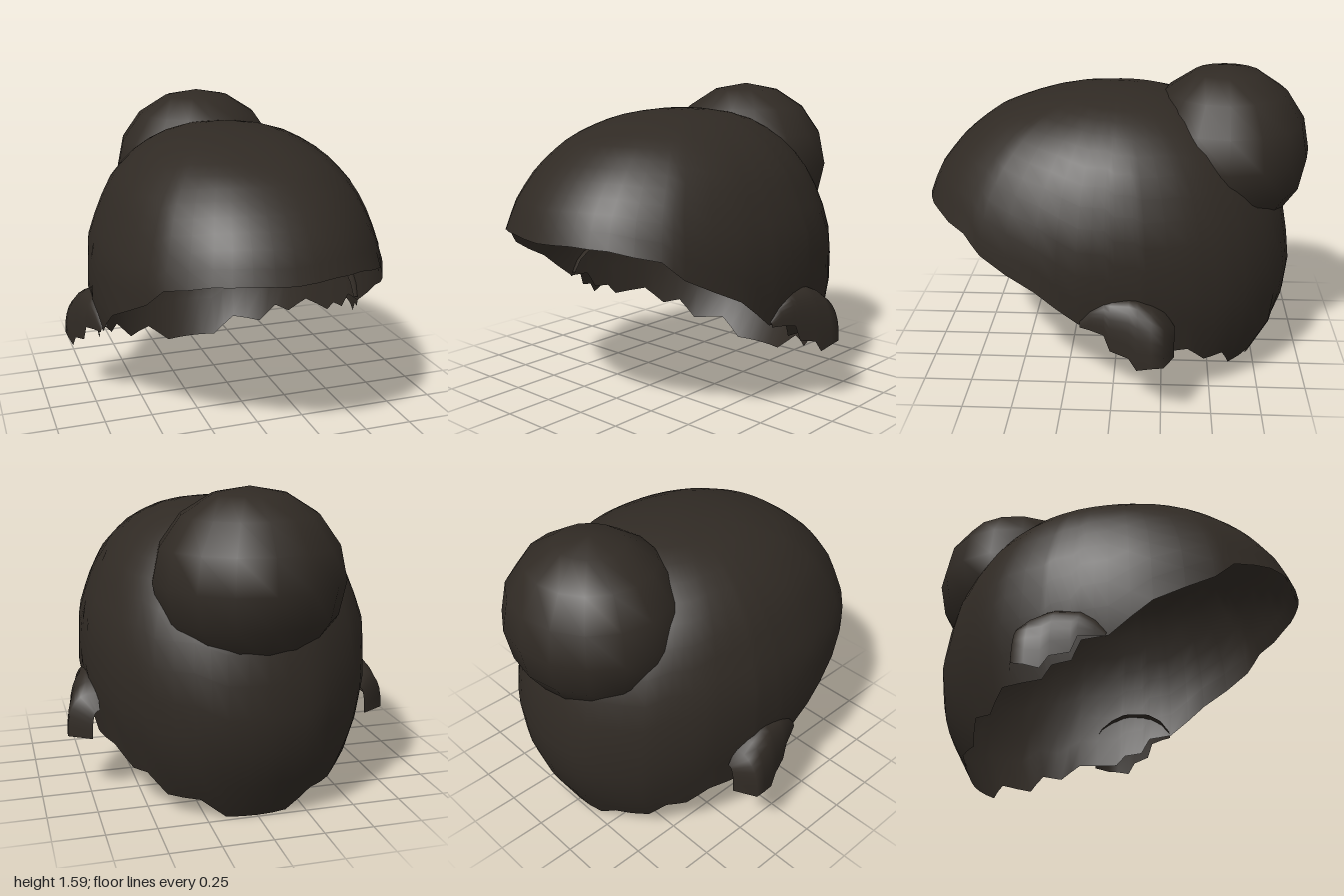
import * as THREE from 'three';
import { mergeVertices } from 'three/addons/utils/BufferGeometryUtils.js';

const material = new THREE.MeshStandardMaterial({ color: 0x302a24, side: THREE.DoubleSide });

// Smooth surface through rows of points (top to bottom, left to right seen from outside)
function surface(rows, name) {
  const n = rows[0].length, index = [];
  for (let r = 0; r < rows.length - 1; r++) {
    for (let c = 0; c < n - 1; c++) {
      const a = r * n + c, b = a + n;
      index.push(a, b, b + 1, a, b + 1, a + 1);
    }
  }
  let geo = new THREE.BufferGeometry();
  geo.setAttribute('position', new THREE.Float32BufferAttribute(rows.flat(2), 3));
  geo.setIndex(index);
  geo = mergeVertices(geo, 1e-4);
  geo.computeVertexNormals();
  const mesh = new THREE.Mesh(geo, material);
  mesh.name = name;
  return mesh;
}

const TOP = 1.48;
// Cap size by s = sqrt(depth below the crown): s, front length, back length, half width
const profile = [
  [0, 0, 0, 0], [0.2, 0.36, 0.34, 0.30], [0.374, 0.64, 0.54, 0.48],
  [0.53, 0.82, 0.70, 0.61], [0.656, 0.94, 0.80, 0.68], [0.78, 1.01, 0.88, 0.74],
  [0.94, 1.04, 0.93, 0.75], [1.086, 1.0, 0.90, 0.70], [1.22, 0.9, 0.73, 0.6],
];
function sizeAt(s) {
  let i = 1;
  while (i < profile.length - 1 && profile[i][0] < s) i++;
  const a = profile[i - 1], b = profile[i], t = (s - a[0]) / (b[0] - a[0]);
  return a.map((v, k) => v + (b[k] - v) * t);
}

// Hairline on the left half, front to back
const hairline = [
  [0, 0.91, 1], [0.2, 0.92, 0.97], [0.37, 0.91, 0.9], [0.56, 0.86, 0.75], [0.62, 0.77, 0.66],
  [0.7, 0.63, 0.36], [0.73, 0.47, 0.16], [0.74, 0.46, 0.03], [0.73, 0.37, -0.02],
  [0.72, 0.36, -0.12], [0.7, 0.3, -0.17], [0.66, 0.3, -0.39], [0.58, 0.2, -0.48],
  [0.53, 0.21, -0.58], [0.44, 0.1, -0.63], [0.29, 0.105, -0.74], [0.155, 0, -0.72], [0, 0, -0.73],
];

function hairCap() {
  // Column directions and end heights, with one extra column between hairline points
  const half = [];
  hairline.forEach(([x, y, z], i) => {
    const [, f, b, w] = sizeAt(Math.sqrt(TOP - y));
    const angle = Math.atan2(x / w, z / (z > 0 ? f : b));
    if (i) {
      const [pa, py] = half[half.length - 1];
      half.push([(pa + angle) / 2, (py + y) / 2]);
    }
    half.push([angle, y]);
  });
  const mirrored = half.slice(0, -1).reverse().map(([a, y]) => [-a, y]);
  const columns = [...half, ...mirrored];
  const rows = [], steps = 14;
  for (let r = 0; r <= steps; r++) {
    rows.push(columns.map(([a, y]) => {
      const s = Math.sqrt(TOP - y) * r / steps;
      const [, f, b, w] = sizeAt(s);
      const dx = Math.sin(a), dz = Math.cos(a), n = dz > 0 ? 2.2 : 2.05;
      const k = (Math.abs(dx) ** n + Math.abs(dz) ** n) ** (-1 / n);
      return [dx * k * w, TOP - s * s, dz * k * (dz > 0 ? f : b)];
    }));
  }
  return surface(rows, 'hairCap');
}

// Tuft flaring out over the ear; stations run front to back: z, outer x, top y, bottom y
const tuft = [
  [0.15, 0.735, 0.49, 0.46], [0.1, 0.76, 0.56, 0.46], [0.03, 0.79, 0.605, 0.45],
  [0, 0.80, 0.61, 0.37], [-0.09, 0.83, 0.62, 0.35], [-0.13, 0.84, 0.615, 0.29],
  [-0.2, 0.855, 0.585, 0.31], [-0.26, 0.86, 0.54, 0.32], [-0.31, 0.74, 0.46, 0.31],
];
function earTuft(side, name) {
  const rows = [], steps = 7;
  const stations = side > 0 ? tuft : [...tuft].reverse();
  for (let r = 0; r <= steps; r++) {
    const a = (r / steps) * Math.PI / 2;
    rows.push(stations.map(([z, out, top, bottom]) => [
      side * (0.7 + (out - 0.7) * Math.sin(a) ** 0.7),
      bottom + (top - bottom) * Math.cos(a) ** 0.85,
      z,
    ]));
  }
  return surface(rows, name);
}

export function createModel() {
  const group = new THREE.Group();
  group.name = 'hair';
  group.add(hairCap(), earTuft(1, 'leftEarTuft'), earTuft(-1, 'rightEarTuft'));

  // Round bun sunk into the back of the crown
  const bun = new THREE.Mesh(new THREE.SphereGeometry(0.44, 16, 8), material);
  bun.name = 'bun';
  bun.scale.x = 1.07;
  bun.position.set(0, 1.15, -0.56);
  group.add(bun);
  return group;
}
